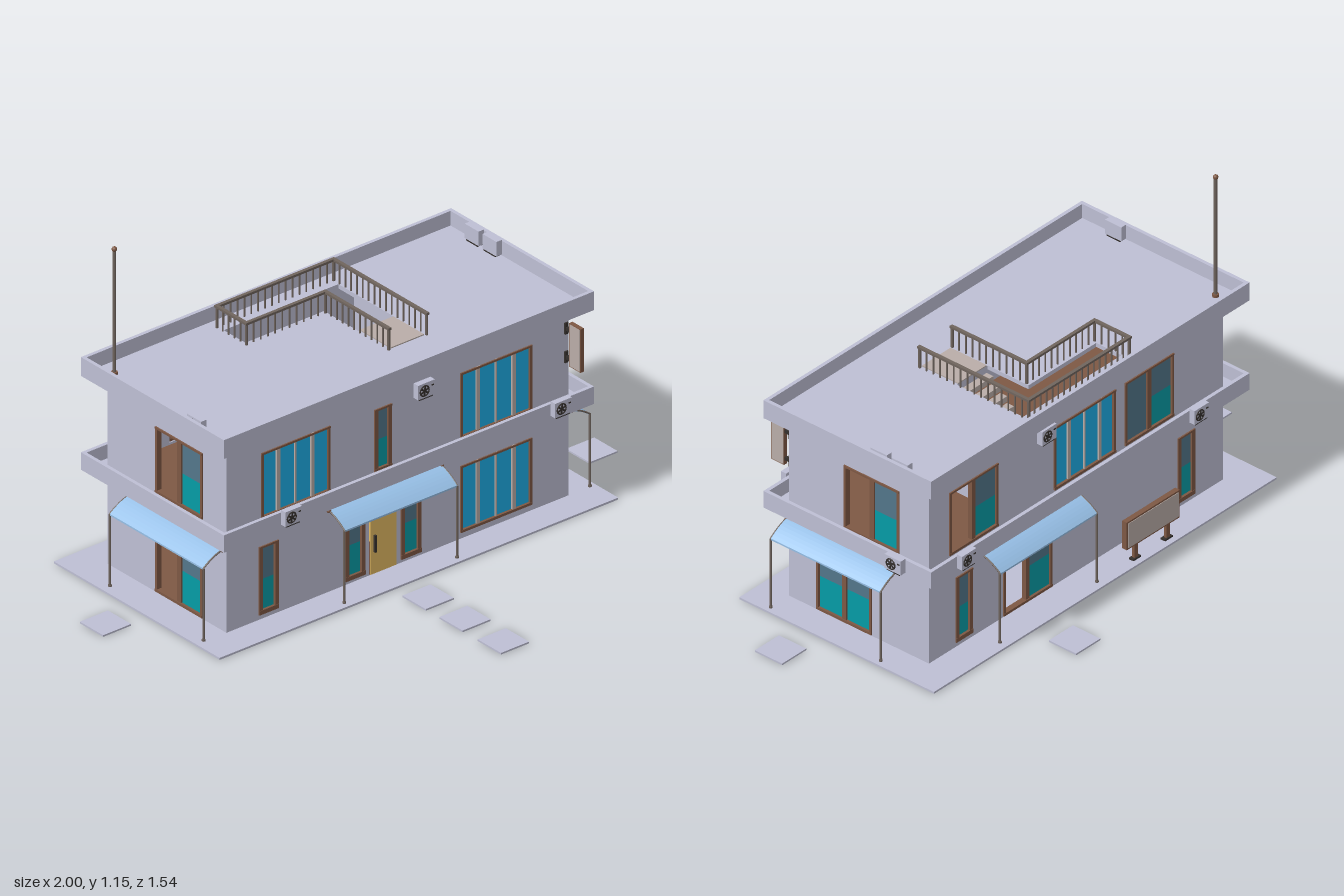
import * as THREE from 'three';

const mat = (name, color, side = THREE.FrontSide) => {
  const m = new THREE.MeshStandardMaterial({ color, side });
  m.name = name;
  return m;
};

export function createModel() {
  const M = {
    wall: mat('lavender plaster', 0xbebfd4),
    blue: mat('blue glass', 0x1fb0ea),
    teal: mat('teal glass', 0x059ca6),
    slate: mat('slate glass', 0x53768a),
    door: mat('yellow door', 0xe2b962),
    wood: mat('brown wood', 0x7e5844),
    awning: mat('pale blue awning', 0x9cc6ee, THREE.DoubleSide),
    dark: mat('dark metal', 0x35302d),
    beige: mat('beige stone', 0xb9ada8),
    metal: mat('warm grey metal', 0x70655e),
  };
  const house = new THREE.Group();
  house.name = 'house';
  const CZ = -0.176, HX = 0.695, HZ = 0.291, T = 0.02;

  const add = (parent, name, geo, material) => {
    const m = new THREE.Mesh(geo, material);
    m.name = name;
    parent.add(m);
    return m;
  };
  // box given by its minimum and maximum corners
  const box = (parent, name, material, x0, x1, y0, y1, z0, z1) => {
    const m = add(parent, name, new THREE.BoxGeometry(x1 - x0, y1 - y0, z1 - z0), material);
    m.position.set((x0 + x1) / 2, (y0 + y1) / 2, (z0 + z1) / 2);
    return m;
  };
  const rod = (parent, name, material, x, z, y0, y1, r) => {
    const m = add(parent, name, new THREE.CylinderGeometry(r, r, y1 - y0, 10), material);
    m.position.set(x, (y0 + y1) / 2, z);
    return m;
  };
  const ball = (parent, name, material, x, y, z, r) =>
    add(parent, name, new THREE.SphereGeometry(r, 10, 8), material).position.set(x, y, z);
  const rect = (x0, x1, y0, y1) => [[x0, y0], [x1, y0], [x1, y1], [x0, y1]].map(p => new THREE.Vector2(...p));
  // horizontal plate from outline and hole in x and -z
  const plate = (name, material, outline, hole, y0, y1) => {
    const s = new THREE.Shape(outline);
    if (hole) s.holes.push(new THREE.Path(hole));
    const g = new THREE.ExtrudeGeometry(s, { depth: y1 - y0, bevelEnabled: false });
    g.rotateX(-Math.PI / 2);
    add(house, name, g, material).position.y = y0;
  };

  // ground slab, floors, inner wall and stepping stones
  box(house, 'groundSlab', M.wall, -0.815, 0.805, 0.001, 0.008, -0.585, 0.226);
  box(house, 'groundFloor', M.wood, -0.69, 0.69, 0, 0.011, CZ - 0.286, CZ + 0.286);
  box(house, 'hallFloor', M.wall, 0.05, 0.55, 0.011, 0.014, CZ - 0.27, CZ + 0.27);
  box(house, 'upperFloor', M.wood, -0.68, 0.68, 0.351, 0.357, CZ - 0.275, CZ + 0.275);
  box(house, 'crossWall', M.wall, 0.29, 0.305, 0.357, 0.675, CZ - 0.27, CZ + 0.27);
  for (const [x, z] of [[0.29, -0.717], [-0.943, -0.178], [0.94, -0.065], [-0.06, 0.337], [-0.06, 0.517], [-0.06, 0.705]])
    box(house, 'steppingStone', M.wall, x - 0.057, x + 0.057, 0.001, 0.007, z - 0.057, z + 0.057);

  // balcony and roof slabs with parapets
  const outer = rect(-0.755, 0.75, -0.174, 0.525), inner = rect(-0.742, 0.737, -0.161, 0.512);
  plate('balconySlab', M.wall, outer, null, 0.34, 0.352);
  plate('balconyParapet', M.wall, outer, inner, 0.352, 0.402);
  const well = [[-0.24, 0.445], [0.225, 0.445], [0.225, 0.17], [0.08, 0.17], [0.08, 0.34], [-0.24, 0.34]].map(p => new THREE.Vector2(...p));
  plate('roofSlab', M.wall, outer, well, 0.675, 0.69);
  plate('roofParapet', M.wall, outer, inner, 0.69, 0.742);

  // L-shaped stairs
  box(house, 'stairTop', M.beige, 0.085, 0.22, 0.69, 0.694, -0.17, -0.02);
  for (let i = 0; i < 6; i++) {
    const y = 0.665 - i * 0.025, z = -0.17 - i * 0.0285;
    box(house, 'upperStep', M.beige, 0.085, 0.22, y - 0.02, y, z - 0.0285, z);
    const y2 = 0.505 - i * 0.025, x = 0.08 - i * 0.033;
    box(house, 'lowerStep', M.beige, x - 0.033, x, y2 - 0.02, y2, -0.445, -0.34);
  }
  box(house, 'stairLanding', M.beige, 0.08, 0.225, 0.51, 0.53, -0.445, -0.34);
  box(house, 'stairFoot', M.beige, -0.24, -0.118, 0.357, 0.365, -0.445, -0.34);

  // railing round the stair opening
  const path = [[0.075, -0.018], [0.075, -0.328], [-0.246, -0.328], [-0.246, -0.472], [0.229, -0.472], [0.229, -0.018]];
  for (let i = 0; i < path.length - 1; i++) {
    const [ax, az] = path[i], [bx, bz] = path[i + 1];
    const n = Math.round(Math.hypot(bx - ax, bz - az) / 0.028);
    box(house, 'handrail', M.metal, Math.min(ax, bx) - 0.006, Math.max(ax, bx) + 0.006, 0.762, 0.77, Math.min(az, bz) - 0.006, Math.max(az, bz) + 0.006);
    for (let k = 0; k <= n; k++)
      rod(house, 'baluster', M.metal, ax + (bx - ax) * k / n, az + (bz - az) * k / n, 0.69, 0.764, k % n ? 0.003 : 0.005);
  }

  // roof mast
  rod(house, 'mast', M.metal, -0.685, -0.445, 0.69, 1.137, 0.006);
  rod(house, 'mastBase', M.wood, -0.685, -0.445, 0.69, 0.7, 0.011);
  ball(house, 'mastTip', M.wood, -0.685, 1.137, -0.445, 0.009);

  // one facade: u runs to the viewer's right, local z points outward
  // panes: b blue, t slate over teal, s slate, d door, o open
  const facade = (name, angle, half, depth, windows) => {
    const g = new THREE.Group();
    g.name = name;
    g.position.z = CZ;
    g.rotation.y = angle;
    house.add(g);
    const f = new THREE.Group();
    f.name = name + 'Face';
    f.position.z = depth;
    g.add(f);
    const s = new THREE.Shape(rect(-half, half, 0.006, 0.68));
    for (const [u0, u1, y0, y1, panes] of windows) {
      s.holes.push(new THREE.Path(rect(u0, u1, y0, y1)));
      const w = panes === 't' ? 0.015 : 0.009, a = -0.016, b = 0.004;
      box(f, 'windowFrame', M.wood, u0, u0 + w, y0, y1, a, b);
      box(f, 'windowFrame', M.wood, u1 - w, u1, y0, y1, a, b);
      box(f, 'windowLintel', M.wood, u0, u1, y1 - 0.007, y1, a, b + 0.001);
      box(f, 'windowSill', M.wood, u0, u1, y0, y0 + w, a, b + 0.001);
      const step = (u1 - u0) / panes.length;
      [...panes].forEach((p, i) => {
        const l = u0 + i * step, r = l + step, mid = (y0 + y1) / 2;
        const h = p !== 'b' ? 0.009 : i === 2 ? 0.003 : 0.007;
        if (i) box(f, 'mullion', p === 'b' ? M.beige : M.wood, l - h, l + h, y0, y1, -0.014, 0.002);
        if (p === 'd') box(f, 'frontDoor', M.door, l, r, y0, y1, -0.012, 0.006);
        if (p === 'b') box(f, 'bluePane', M.blue, l, r, y0, y1, -0.01, -0.004);
        if (p === 's') box(f, 'slatePane', M.slate, l, r, y0, y1, -0.01, -0.004);
        if (p === 't') {
          box(f, 'lowerPane', M.teal, l, r, y0, mid, -0.01, -0.004);
          box(f, 'upperPane', M.slate, l, r, mid, y1, -0.01, -0.004);
        }
      });
    }
    const geo = new THREE.ExtrudeGeometry(s, { depth: T, bevelEnabled: false });
    add(f, name + 'Wall', geo, M.wall).position.z = -T;
    return f;
  };

  // gently curved awning on two poles
  const awning = (f, c) => {
    const w = 0.229;
    const curve = new THREE.QuadraticBezierCurve3(new THREE.Vector3(0, 0.308, 0), new THREE.Vector3(0, 0.302, 0.045), new THREE.Vector3(0, 0.266, 0.09));
    const pts = curve.getPoints(8).map(p => new THREE.Vector2(-p.z, p.y + 0.002));
    const low = pts.map(p => new THREE.Vector2(p.x, p.y - 0.006)).reverse();
    const geo = new THREE.ExtrudeGeometry(new THREE.Shape([...pts, ...low]), { depth: 2 * w, bevelEnabled: false });
    geo.rotateY(Math.PI / 2);
    add(f, 'awning', geo, M.awning).position.x = c - w;
    box(f, 'awningRail', M.metal, c - w, c + w, 0.307, 0.312, 0, 0.005);
    for (const u of [c - w, c + w]) {
      add(f, 'awningArm', new THREE.TubeGeometry(curve, 8, 0.003, 6), M.metal).position.x = u;
      rod(f, 'awningPole', M.metal, u, 0.088, 0.008, 0.266, 0.004);
      rod(f, 'poleFoot', M.metal, u, 0.088, 0.008, 0.014, 0.006);
      ball(f, 'awningKnob', M.wood, u, 0.306, 0.012, 0.008);
    }
  };

  // air conditioner with a round fan
  const cooler = (f, u, y, z) => {
    box(f, 'coolerBody', M.wall, u - 0.034, u + 0.034, y - 0.025, y + 0.027, z, z + 0.022);
    box(f, 'coolerBracket', M.dark, u - 0.028, u + 0.028, y - 0.03, y - 0.025, z, z + 0.02);
    add(f, 'coolerFanRing', new THREE.TorusGeometry(0.018, 0.0025, 6, 16), M.dark).position.set(u - 0.008, y, z + 0.022);
    for (const a of [0, Math.PI / 3, -Math.PI / 3]) {
      const blade = box(f, 'coolerFanBlade', M.dark, u - 0.026, u + 0.01, y - 0.003, y + 0.003, z + 0.021, z + 0.024);
      blade.rotation.z = a + 0.4;
    }
    box(f, 'coolerVent', M.dark, u + 0.02, u + 0.029, y + 0.01, y + 0.014, z + 0.021, z + 0.024);
  };

  const U0 = 0.365, U1 = 0.6;
  const front = facade('front', 0, HX, HZ, [
    [-0.555, -0.275, U0, U1, 'bbbb'], [0.255, 0.545, U0, U1, 'bbbb'], [-0.095, -0.025, U0, 0.592, 't'],
    [0.255, 0.545, 0.03, 0.268, 'bbbb'], [-0.565, -0.485, 0.025, 0.268, 't'],
    [-0.213, -0.133, 0.02, 0.262, 't'], [0.013, 0.095, 0.02, 0.262, 't'], [-0.115, -0.008, 0.012, 0.264, 'd'],
  ]);
  box(front, 'doorHandle', M.dark, -0.102, -0.095, 0.09, 0.15, 0.003, 0.014);
  awning(front, -0.06);
  cooler(front, 0.1, 0.603, 0);
  cooler(front, -0.49, 0.385, 0.06);
  cooler(front, 0.607, 0.385, 0.06);

  const left = facade('leftSide', Math.PI / 2, HZ - T, HX, [
    [-0.061, 0.169, U0, U1, 'ot'], [-0.176, 0.054, 0.012, 0.258, 'tt'],
  ]);
  awning(left, -0.061);
  cooler(left, 0.21, 0.382, 0.058);
  cooler(left, 0.204, 0.72, 0.018);
  cooler(left, 0.117, 0.72, 0.018);

  const back = facade('back', Math.PI, HX, HZ, [
    [-0.6, -0.37, U0, U1, 'ot'], [-0.105, 0.185, U0, U1, 'bbbb'], [0.23, 0.46, U0, U1, 'st'],
    [-0.57, -0.49, 0.025, 0.268, 't'], [-0.345, -0.115, 0.012, 0.258, 'ot'], [0.48, 0.56, 0.025, 0.268, 't'],
  ]);
  awning(back, -0.23);
  cooler(back, -0.15, 0.603, 0);
  cooler(back, -0.597, 0.385, 0.06);
  cooler(back, 0.502, 0.385, 0.06);

  const right = facade('rightSide', -Math.PI / 2, HZ - T, HX, [
    [-0.054, 0.176, U0, U1, 'ot'], [-0.054, 0.176, 0.012, 0.258, 'ot'],
  ]);
  awning(right, 0.056);
  cooler(right, 0.186, 0.72, 0.022);

  // hanging board at the front corner
  box(house, 'hangingBoardFrame', M.wood, 0.677, 0.691, 0.485, 0.64, 0.14, 0.195);
  box(house, 'hangingBoardPanel', M.beige, 0.676, 0.692, 0.488, 0.637, 0.143, 0.192);
  for (const y of [0.508, 0.61]) {
    box(house, 'boardBracket', M.dark, 0.679, 0.689, y - 0.006, y + 0.006, 0.115, 0.142);
    box(house, 'bracketPlate', M.dark, 0.677, 0.691, y - 0.02, y + 0.02, 0.115, 0.121);
  }

  // standing board behind the house
  box(house, 'standingBoardFrame', M.wood, -0.38, -0.13, 0.065, 0.168, -0.564, -0.545);
  box(house, 'standingBoardPanel', M.beige, -0.374, -0.136, 0.071, 0.162, -0.566, -0.543);
  for (const x of [-0.33, -0.18]) {
    box(house, 'boardLeg', M.wood, x - 0.008, x + 0.008, 0.008, 0.066, -0.56, -0.549);
    box(house, 'boardFoot', M.dark, x - 0.018, x + 0.018, 0.008, 0.014, -0.564, -0.545);
  }
  return house;
}
